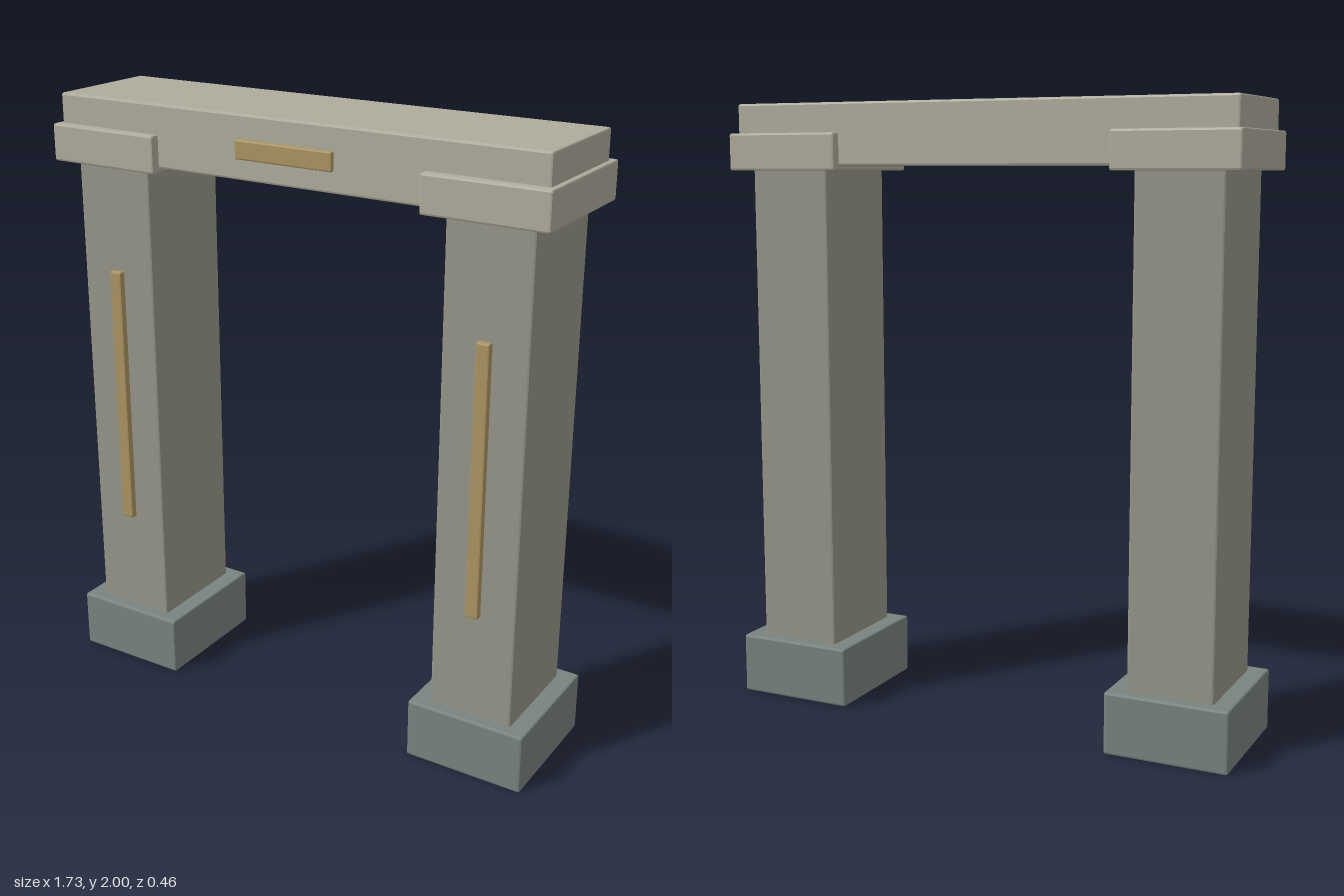
import * as THREE from 'three';
import { RoundedBoxGeometry } from 'three/addons/geometries/RoundedBoxGeometry.js';

const material = (color) => new THREE.MeshStandardMaterial({ color, flatShading: true });

// Box with small chamfered edges, placed by its centre x, bottom y and centre z
function block(name, mat, [w, h, d], [x, y, z], bevel = 0.007) {
  const mesh = new THREE.Mesh(new RoundedBoxGeometry(w, h, d, 1, bevel), mat);
  mesh.name = name;
  mesh.position.set(x, y + h / 2, z);
  return mesh;
}

export function createModel() {
  const model = new THREE.Group();
  model.name = 'gateway';

  const shaftStone = material(0x96958a);
  const paleStone = material(0xafab9c);
  const darkStone = material(0x78837f);
  const brass = material(0xac9462);

  // Two mirrored pillars: plinth, shaft, capital and front inlay
  for (const [side, sign] of [['left', 1], ['right', -1]]) {
    const pillar = new THREE.Group();
    pillar.name = side + 'Pillar';
    pillar.position.x = sign * 0.667;
    pillar.add(
      block('plinth', darkStone, [0.4, 0.2, 0.44], [0, 0, 0]),
      block('shaft', shaftStone, [0.28, 1.8, 0.36], [0, 0, 0]),
      block('capital', paleStone, [0.4, 0.12, 0.46], [0, 1.785, 0]),
      block('inlay', brass, [0.044, 0.885, 0.025], [0, 0.55, 0.188], 0.005)
    );
    model.add(pillar);
  }

  // Lintel across both capitals, with a blank plaque on its front
  model.add(
    block('lintel', paleStone, [1.7, 0.2, 0.4], [0, 1.8, 0]),
    block('plaque', brass, [0.34, 0.06, 0.025], [0, 1.865, 0.2], 0.005)
  );

  return model;
}
